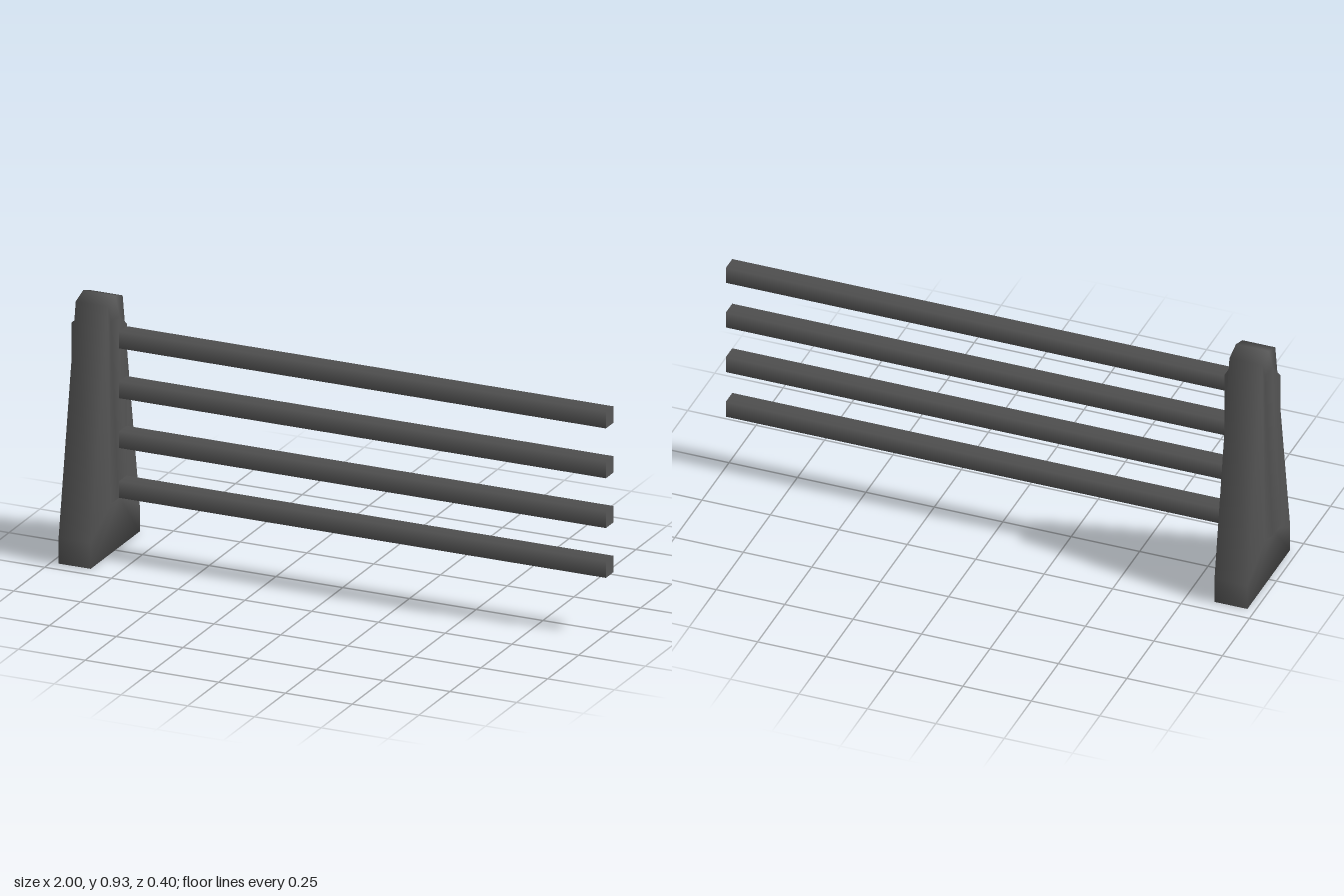
import * as THREE from 'three';

const steel = new THREE.MeshStandardMaterial({ color: 0x555555 });
steel.name = 'dark grey steel';

// Tapered post with a raised ridge on each broad side, one smooth shell
function postGeometry(halfWidth, ridgeHalf) {
  // [z, y]: seven outline corners, four ridge base corners, four ridge top corners
  const outline = [[0.198, 0], [0.198, 0.095], [0.06, 0.905], [0, 0.925], [-0.06, 0.905], [-0.198, 0.095], [-0.198, 0]];
  const ridge = [[0.035, 0.18], [0.035, 0.84], [-0.035, 0.84], [-0.035, 0.18]];
  const crest = [[0.035, 0.205], [0.035, 0.815], [-0.035, 0.815], [-0.035, 0.205]];
  const ring = [...outline, ...ridge, ...crest];
  const faces = [
    [0, 1, 7], [1, 2, 8, 7], [2, 3, 8], [3, 9, 8], [3, 4, 9], [4, 5, 10, 9], [5, 6, 10], [6, 0, 7, 10],
    [7, 8, 12, 11], [8, 9, 13, 12], [9, 10, 14, 13], [10, 7, 11, 14], [11, 12, 13, 14],
  ];
  const n = ring.length;
  const positions = [], index = [];
  for (const s of [1, -1]) {
    ring.forEach(([z, y], i) => positions.push(s * (i < 11 ? halfWidth : ridgeHalf), y, z));
  }
  const addFace = (f) => {
    for (let i = 1; i < f.length - 1; i++) index.push(f[0], f[i], f[i + 1]);
  };
  for (const f of faces) {
    addFace([...f].reverse());
    addFace(f.map((i) => i + n));
  }
  // narrow rim joining both sides
  for (let i = 0; i < 7; i++) {
    const j = (i + 1) % 7;
    addFace([i, j, j + n, i + n]);
  }
  const g = new THREE.BufferGeometry();
  g.setAttribute('position', new THREE.Float32BufferAttribute(positions, 3));
  g.setIndex(index);
  g.computeVertexNormals();
  return g;
}

export function createModel() {
  const model = new THREE.Group();
  model.name = 'railFence';

  const post = new THREE.Mesh(postGeometry(0.06, 0.088), steel);
  post.name = 'post';
  post.position.x = -0.912;
  model.add(post);

  // Square rails with softly shaded sides
  const start = -0.83, end = 1, side = 0.06;
  const railGeometry = new THREE.CylinderGeometry(side * Math.SQRT1_2, side * Math.SQRT1_2, end - start, 4);
  railGeometry.rotateY(Math.PI / 4);
  railGeometry.rotateZ(-Math.PI / 2);
  for (let i = 0; i < 4; i++) {
    const rail = new THREE.Mesh(railGeometry, steel);
    rail.name = `rail${i + 1}`;
    rail.position.set((start + end) / 2, 0.235 + i * 0.181, 0);
    model.add(rail);
  }
  return model;
}
